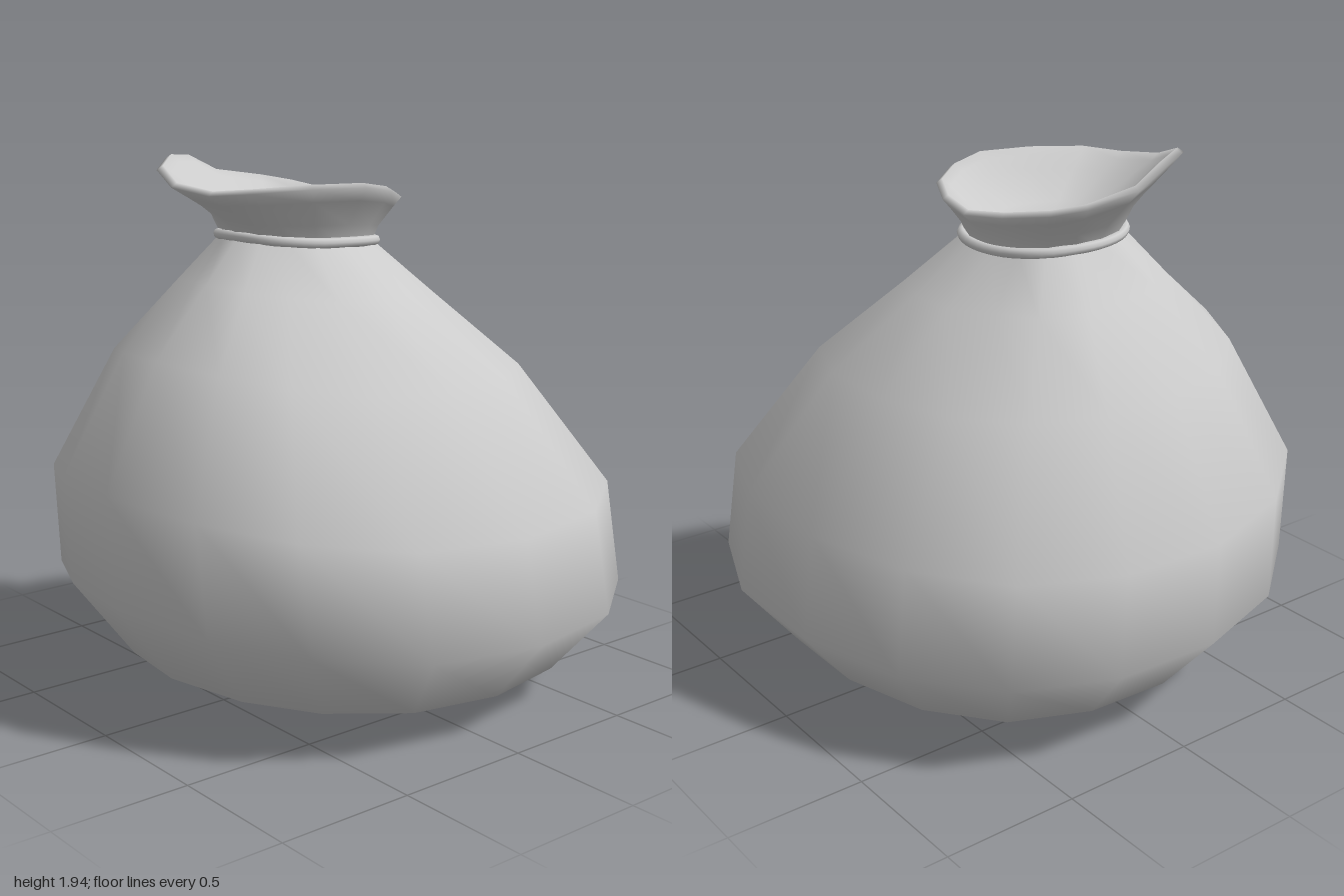
import * as THREE from 'three';

const V = (x, y, z) => new THREE.Vector3(x, y, z);

// Lopsided plan outline (x, z) shared by every ring of the sack
const OUTLINE = [
  [0.98, 0.32], [0.83, 0.7], [0.51, 0.93], [0.09, 1], [-0.33, 0.92], [-0.67, 0.71],
  [-0.88, 0.43], [-0.98, 0.04], [-0.93, -0.34], [-0.78, -0.68], [-0.5, -0.9], [-0.13, -1],
  [0.27, -0.98], [0.62, -0.83], [0.86, -0.53], [0.98, -0.13],
];
const SIDES = OUTLINE.length;

// Uneven ring: x and z extents, heights at left end, right end, front and back,
// and how far every third point is pulled in as a pleat
function ring(x0, x1, z0, z1, yx0, yx1, yFront, yBack, pleat = 0) {
  return OUTLINE.map(([c, s], i) => {
    const r = i % 3 === 2 ? 1 - pleat : 1;
    const w = (c * c) / (c * c + s * s);
    const y = w * (c > 0 ? yx1 : yx0) + (1 - w) * (s > 0 ? yFront : yBack);
    return V((x0 + x1) / 2 + (r * c * (x1 - x0)) / 2, y, (z0 + z1) / 2 + (r * s * (z1 - z0)) / 2);
  });
}

// Skin a stack of rings, with optional closing points at either end
function loft(rings, first, last) {
  const pos = rings.flat().flatMap((p) => p.toArray());
  const idx = [];
  const at = (k, i) => k * SIDES + (i % SIDES);
  for (let k = 0; k < rings.length - 1; k++) {
    for (let i = 0; i < SIDES; i++) {
      idx.push(at(k, i), at(k + 1, i), at(k + 1, i + 1), at(k, i), at(k + 1, i + 1), at(k, i + 1));
    }
  }
  const cap = (point, k, flip) => {
    const n = pos.length / 3;
    pos.push(...point.toArray());
    for (let i = 0; i < SIDES; i++) {
      if (flip) idx.push(n, at(k, i), at(k, i + 1));
      else idx.push(at(k, i), n, at(k, i + 1));
    }
  };
  if (first) cap(first, 0, true);
  if (last) cap(last, rings.length - 1, false);
  const g = new THREE.BufferGeometry();
  g.setAttribute('position', new THREE.Float32BufferAttribute(pos, 3));
  g.setIndex(idx);
  g.computeVertexNormals();
  return g;
}

export function createModel() {
  const group = new THREE.Group();
  const material = new THREE.MeshStandardMaterial({ color: 0xcccccc, side: THREE.DoubleSide });
  const add = (name, geometry) => {
    const mesh = new THREE.Mesh(geometry, material);
    mesh.name = name;
    group.add(mesh);
  };

  // Sagging sack body, pleated up to an off-centre neck
  const neck = ring(-0.33, 0.2, -0.38, 0.13, 1.67, 1.63, 1.65, 1.65);
  add('sack', loft([
    ring(-0.4, 0.44, -0.45, 0.45, 0.03, 0.02, 0.02, 0.03),
    ring(-0.76, 0.81, -0.8, 0.8, 0.16, 0.13, 0.12, 0.13),
    ring(-0.98, 1, -1, 1, 0.46, 0.37, 0.36, 0.37),
    ring(-1, 0.96, -0.98, 0.95, 0.86, 0.76, 0.73, 0.73),
    ring(-0.75, 0.67, -0.75, 0.63, 1.28, 1.19, 1.18, 1.19),
    ring(-0.5, 0.39, -0.53, 0.33, 1.51, 1.45, 1.46, 1.47, 0.09),
    neck,
  ], V(0.03, 0.005, 0)));

  // Flared, crumpled mouth with a rounded lip and a bowl-like inside
  const rim = [
    [0.25, 1.78, 0.05], [0.2, 1.81, 0.16], [0.1, 1.84, 0.22], [-0.04, 1.86, 0.25],
    [-0.24, 1.86, 0.2], [-0.44, 1.85, 0.12], [-0.53, 1.84, 0], [-0.56, 1.86, -0.18],
    [-0.52, 1.91, -0.33], [-0.41, 1.94, -0.44], [-0.28, 1.93, -0.51], [-0.13, 1.87, -0.54],
    [0.09, 1.84, -0.54], [0.19, 1.82, -0.47], [0.26, 1.79, -0.3], [0.27, 1.76, -0.1],
  ].map((p) => V(...p));
  const blend = (t, ty) => neck.map((n, i) => {
    const p = n.clone().lerp(rim[i], t);
    p.y = THREE.MathUtils.lerp(n.y, rim[i].y, ty);
    return p;
  });
  const inset = (points, s, dy) => points.map((p) => V(-0.1 + (p.x + 0.1) * s, p.y + dy, -0.14 + (p.z + 0.14) * s));
  const flare = blend(0.2, 0.3);
  const flareHigh = blend(0.72, 0.72);
  add('mouth', loft([
    neck, flare, flareHigh, inset(rim, 1, -0.012),
    inset(rim, 0.95, 0.004), inset(rim, 0.88, -0.02),
    inset(flareHigh, 0.85, -0.01), inset(flare, 0.7, -0.02),
  ], null, V(-0.07, 1.66, -0.13)));

  // Cord tied around the neck
  const cordPath = new THREE.CatmullRomCurve3(inset(neck, 1.03, 0), true);
  add('cord', new THREE.TubeGeometry(cordPath, 48, 0.019, 8, true));

  return group;
}
